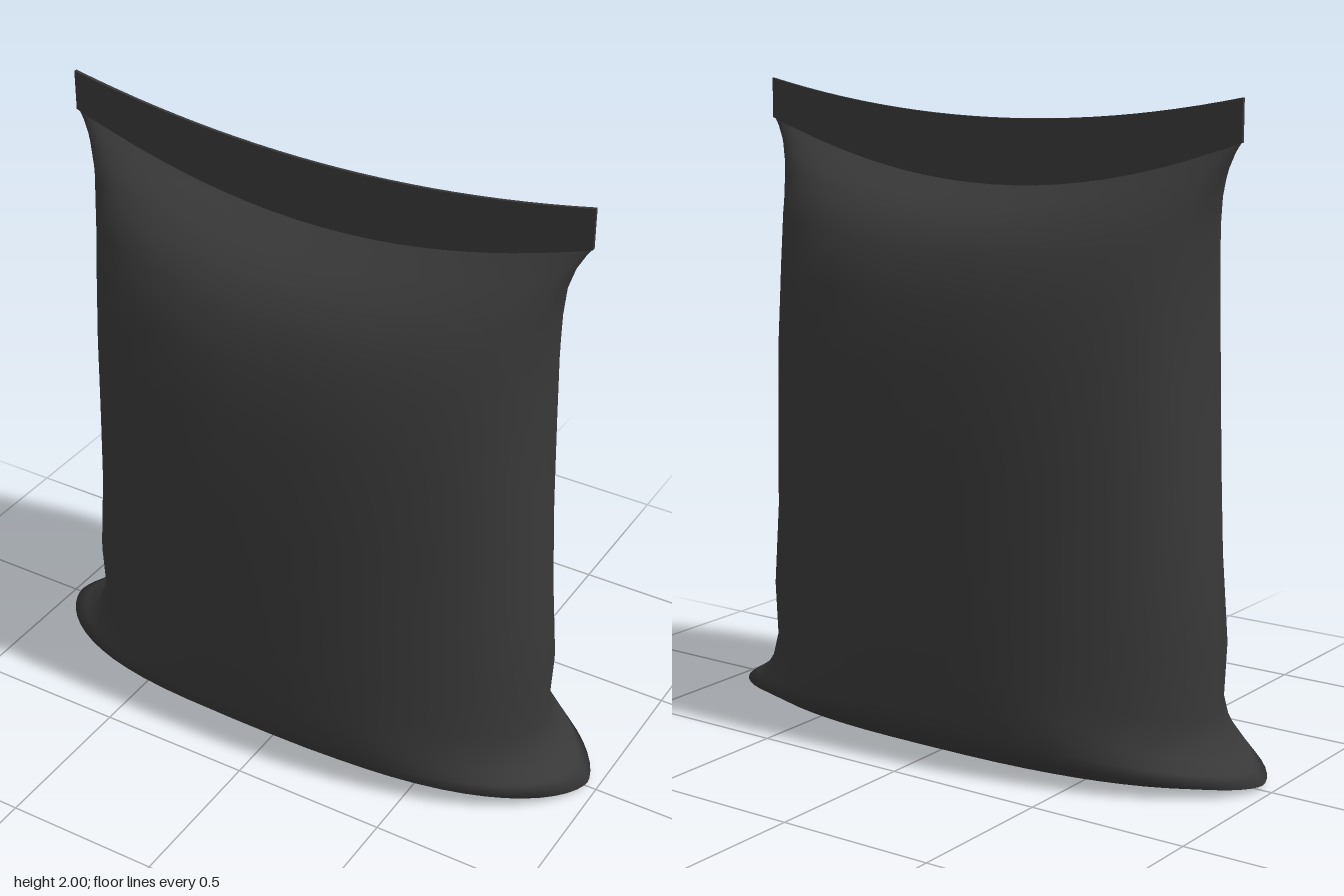
import * as THREE from 'three';

const SEGMENTS = 64;

// Cross-sections from the base up:
// [height at the sides, half width, half depth, sag at the middle, squareness, side taper]
// A negative sag lifts the middle, which rounds the lower front and back edges.
const SECTIONS = [
  [0, 0, 0, 0, 2.5, 0.62],
  [0.004, 0.82, 0.25, 0, 2.5, 0.62],
  [0.01, 0.92, 0.33, -0.02, 2.5, 0.62],
  [0.015, 0.97, 0.39, -0.08, 2.6, 0.62],
  [0.045, 0.92, 0.403, -0.1, 2.6, 0.62],
  [0.08, 0.865, 0.41, -0.12, 2.6, 0.6],
  [0.12, 0.83, 0.413, -0.13, 2.6, 0.58],
  [0.2, 0.803, 0.415, -0.12, 2.5, 0.56],
  [0.38, 0.812, 0.415, -0.06, 2.5, 0.56],
  [0.65, 0.787, 0.41, 0, 2.5, 0.54],
  [0.92, 0.762, 0.402, 0, 2.5, 0.46],
  [1.2, 0.748, 0.385, 0, 2.5, 0.41],
  [1.42, 0.747, 0.35, 0.02, 2.5, 0.4],
  [1.6, 0.758, 0.30, 0.06, 2.4, 0.41],
  [1.72, 0.78, 0.22, 0.10, 2.3, 0.43],
  [1.8, 0.81, 0.13, 0.14, 2.2, 0.45],
  [1.85, 0.838, 0.05, 0.16, 2.1, 0.48],
  [1.88, 0.858, 0.006, 0.17, 2, 0.5],
];

const power = (v, e) => Math.sign(v) * Math.abs(v) ** e;

// Skin of closed rings that sag towards the middle of the bag
function pillowGeometry() {
  const positions = [];
  const indices = [];
  SECTIONS.forEach(([y, width, depth, sag, squareness, taper], row) => {
    for (let i = 0; i < SEGMENTS; i++) {
      const a = (i / SEGMENTS) * Math.PI * 2;
      const u = power(Math.cos(a), 2 / squareness);
      const v = power(Math.sin(a), 2 * taper);
      positions.push(u * width, y - sag * (1 - u * u), v * depth);
      if (row === SECTIONS.length - 1) continue;
      const p = row * SEGMENTS + i;
      const q = row * SEGMENTS + (i + 1) % SEGMENTS;
      indices.push(p, p + SEGMENTS, q, q, p + SEGMENTS, q + SEGMENTS);
    }
  });
  const geometry = new THREE.BufferGeometry();
  geometry.setAttribute('position', new THREE.Float32BufferAttribute(positions, 3));
  geometry.setIndex(indices);
  geometry.computeVertexNormals();
  return geometry;
}

// Flat sealed strip with a curved top and bottom edge
function sealGeometry() {
  const half = 0.858;
  const steps = 24;
  const shape = new THREE.Shape();
  for (let i = 0; i <= steps; i++) {
    const u = (i / steps) * 2 - 1;
    const y = 1.875 - 0.17 * (1 - u * u);
    if (i === 0) shape.moveTo(u * half, y);
    else shape.lineTo(u * half, y);
  }
  for (let i = steps; i >= 0; i--) {
    const u = (i / steps) * 2 - 1;
    shape.lineTo(u * half, 2 - 0.09 * (1 - u * u));
  }
  const geometry = new THREE.ExtrudeGeometry(shape, { depth: 0.01, bevelEnabled: false });
  geometry.translate(0, 0, -0.005);
  return geometry;
}

export function createModel() {
  const group = new THREE.Group();
  group.name = 'bag';
  const material = new THREE.MeshStandardMaterial({ color: 0x383838 });

  const body = new THREE.Mesh(pillowGeometry(), material);
  body.name = 'bagBody';

  const seal = new THREE.Mesh(sealGeometry(), material);
  seal.name = 'topSeal';

  group.add(body, seal);
  return group;
}
